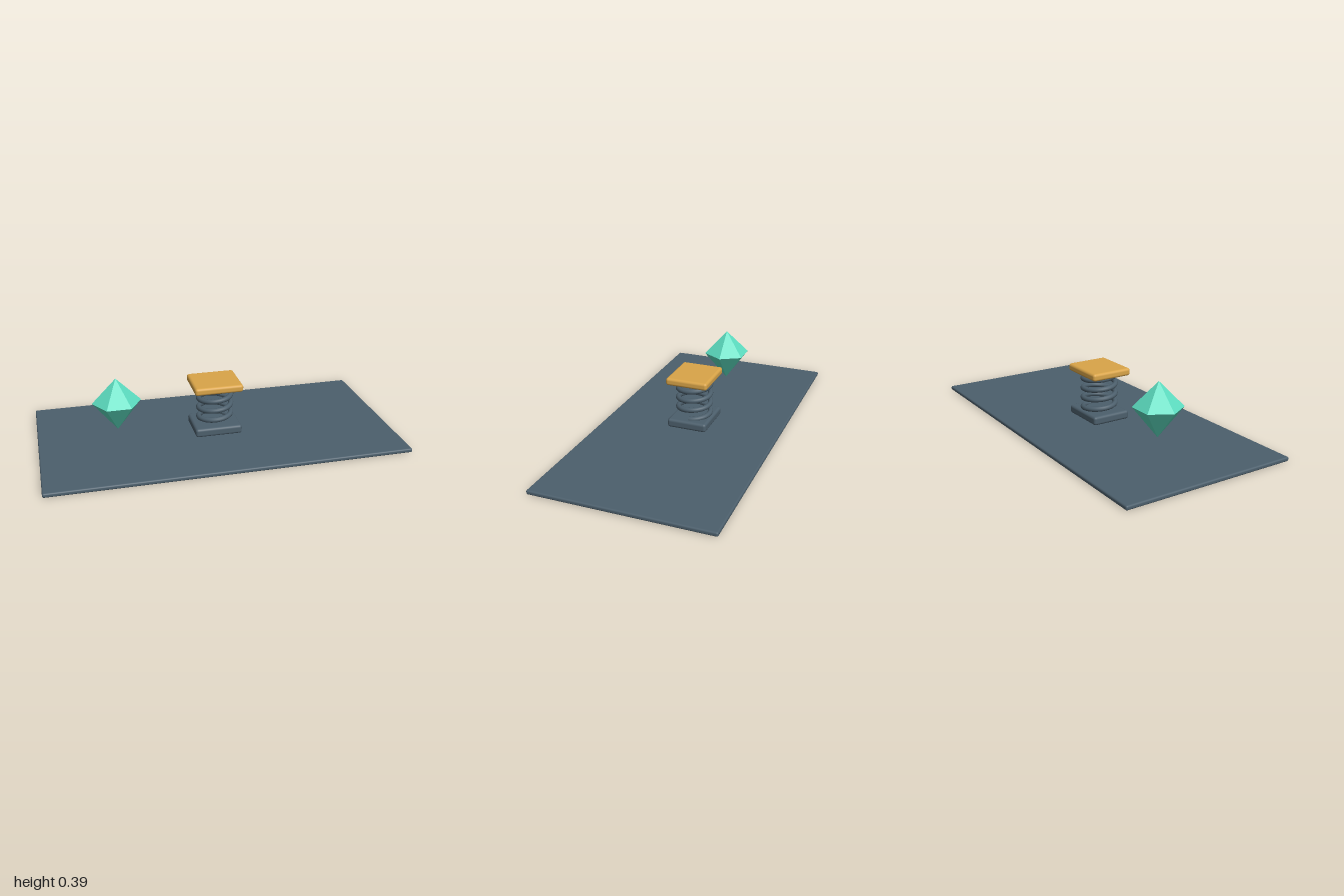
import * as THREE from 'three';
import { RoundedBoxGeometry } from 'three/addons/geometries/RoundedBoxGeometry.js';

const material = (name, color, extra = {}) => {
  const m = new THREE.MeshStandardMaterial({ color, ...extra });
  m.name = name;
  return m;
};

export function createModel() {
  const slate = material('slate', 0x4c5f6c);
  const gold = material('gold', 0xd9a448);
  const teal = material('teal', 0x5cdcc0, { flatShading: true });
  const model = new THREE.Group();
  model.name = 'springPadWithCrystal';

  const add = (name, geometry, mat, x = 0, y = 0, parent = model) => {
    const mesh = new THREE.Mesh(geometry, mat);
    mesh.name = name;
    mesh.position.set(x, y, 0);
    parent.add(mesh);
    return mesh;
  };

  // Rounded slab between two heights
  const slab = (name, width, bottom, top, depth, radius, mat, parent) =>
    add(name, new RoundedBoxGeometry(width, top - bottom, depth, 4, radius),
      mat, 0, (bottom + top) / 2, parent);

  slab('floor', 2, 0, 0.024, 1, 0.009, slate);

  // Spring pad: base, coil and top plate
  const pad = new THREE.Group();
  pad.name = 'springPad';
  model.add(pad);
  slab('padBase', 0.268, 0.034, 0.084, 0.23, 0.015, slate, pad);
  slab('padPlate', 0.274, 0.291, 0.334, 0.242, 0.015, gold, pad);

  // Coil climbs from +x towards -z
  class Helix extends THREE.Curve {
    getPoint(t, target = new THREE.Vector3()) {
      const a = t * 4 * Math.PI * 2;
      return target.set(Math.cos(a) * 0.092, 0.083 + t * 0.226, -Math.sin(a) * 0.092);
    }
  }
  add('coil', new THREE.TubeGeometry(new Helix(), 192, 0.0145, 12), slate, 0, 0, pad);

  // Hovering six-sided crystal made of two points
  const crystal = new THREE.Group();
  crystal.name = 'crystal';
  crystal.position.set(-0.556, 0.257, 0);
  model.add(crystal);
  const point = (name, height, flip) => {
    const g = new THREE.ConeGeometry(0.136, height, 6, 1, true, Math.PI / 2);
    g.translate(0, height / 2, 0);
    if (flip) g.rotateX(Math.PI);
    add(name, g, teal, 0, 0, crystal);
  };
  point('crystalTop', 0.137, false);
  point('crystalBottom', 0.168, true);

  return model;
}
